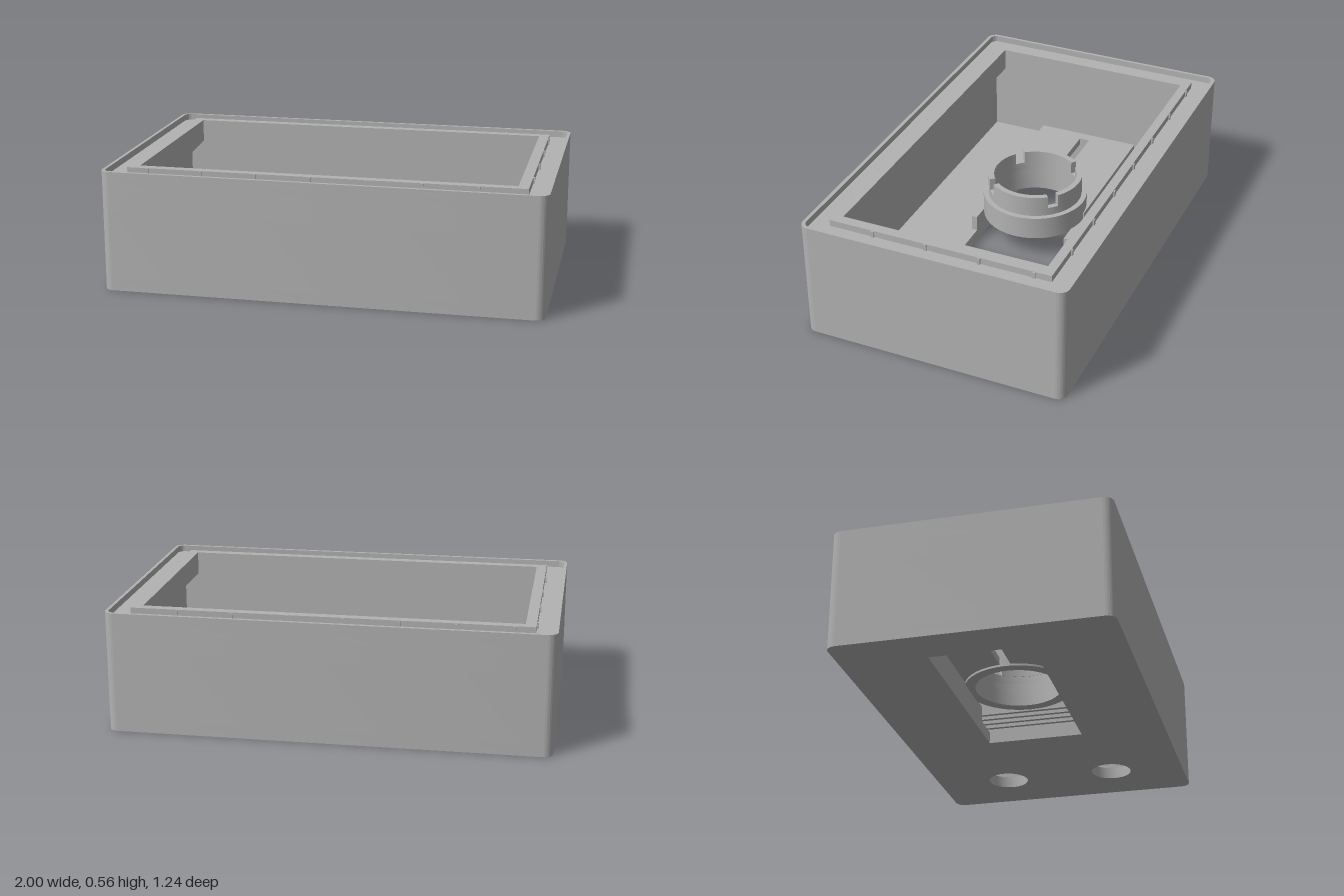
import * as THREE from 'three';
import { toCreasedNormals } from 'three/addons/utils/BufferGeometryUtils.js';

const grey = new THREE.MeshStandardMaterial({ color: 0xb2b2b2 });
grey.name = 'plain grey';

const HX = 1, HZ = 0.622, TOP = 0.555, FLOOR = 0.055;
const RING_X = -0.14;

// Rectangle with optional rounded corners, in plan (x, -z)
function rect(x0, x1, z0, z1, r = 0, Type = THREE.Shape) {
  const s = new Type();
  if (!r) {
    s.moveTo(x0, z0).lineTo(x1, z0).lineTo(x1, z1).lineTo(x0, z1).closePath();
    return s;
  }
  s.moveTo(x0 + r, z0).lineTo(x1 - r, z0);
  s.absarc(x1 - r, z0 + r, r, -Math.PI / 2, 0);
  s.lineTo(x1, z1 - r);
  s.absarc(x1 - r, z1 - r, r, 0, Math.PI / 2);
  s.lineTo(x0 + r, z1);
  s.absarc(x0 + r, z1 - r, r, Math.PI / 2, Math.PI);
  s.lineTo(x0, z0 + r);
  s.absarc(x0 + r, z0 + r, r, Math.PI, Math.PI * 1.5);
  return s;
}

function circle(x, z, r, Type = THREE.Path) {
  const p = new Type();
  p.absarc(x, z, r, 0, Math.PI * 2);
  return p;
}

// Ring sector around the socket centre
function sector(r0, r1, a0, a1) {
  const s = new THREE.Shape();
  s.absarc(RING_X, 0, r1, a0, a1, false);
  s.absarc(RING_X, 0, r0, a1, a0, true);
  s.closePath();
  return s;
}

export function createModel() {
  const model = new THREE.Group();
  model.name = 'enclosure';

  // Upright slab of a plan shape between two heights
  function slab(name, shape, y0, y1, holes = []) {
    shape.holes.push(...holes);
    const g = new THREE.ExtrudeGeometry(shape, { depth: y1 - y0, bevelEnabled: false, curveSegments: 20 });
    g.rotateX(-Math.PI / 2).translate(0, y0, 0);
    const mesh = new THREE.Mesh(toCreasedNormals(g, 0.6), grey);
    mesh.name = name;
    model.add(mesh);
  }
  const outer = () => rect(-HX, HX, -HZ, HZ, 0.045);
  const inset = (hx, hz, r = 0) => rect(-hx, hx, -hz, hz, r, THREE.Path);

  // Floor with two round ports and the battery-style opening
  slab('floor', outer(), 0, FLOOR, [
    circle(0.7, 0.267, 0.098), circle(0.7, -0.267, 0.098),
    rect(-0.8, 0.19, -0.225, 0.228, 0, THREE.Path),
  ]);

  // Side walls, stepping inwards below the rim
  slab('walls', outer(), FLOOR, 0.375, [inset(0.95, 0.573)]);
  const steps = 5;
  for (let i = 0; i < steps; i++) {
    const d = (0.095 * (i + 1)) / steps, h = 0.09 / steps;
    slab('wallStep', outer(), 0.375 + i * h, 0.375 + (i + 1) * h, [inset(0.95 - d, 0.573 - d)]);
  }
  slab('ledge', outer(), 0.465, 0.525, [inset(0.855, 0.478)]);

  // Thin outer lip and raised inner frame
  slab('outerLip', outer(), 0.525, TOP, [inset(0.985, 0.605, 0.03)]);
  slab('innerFrame', rect(-0.903, 0.903, -0.52, 0.52), 0.525, TOP, [inset(0.855, 0.478)]);

  // Small nubs around the frame
  function nub(x, z) {
    const m = new THREE.Mesh(new THREE.BoxGeometry(0.014, 0.028, 0.014), grey);
    m.position.set(x, 0.539, z);
    m.name = 'frameNub';
    model.add(m);
  }
  for (const s of [-1, 1]) {
    for (let i = 0; i < 7; i++) nub(-0.81 + i * 0.25, s * 0.52);
    for (let i = 0; i < 4; i++) nub(s * 0.903, -0.44 + i * 0.25);
  }

  // Raised housing over the opening: U-shaped wall and slotted roof
  const wall = new THREE.Shape();
  [[0.05, -0.252], [0.05, -0.225], [-0.8, -0.225], [-0.8, 0.228], [0.05, 0.228], [0.05, 0.255], [-0.84, 0.255], [-0.84, -0.252]]
    .forEach(([x, z], i) => (i ? wall.lineTo(x, z) : wall.moveTo(x, z)));
  wall.closePath();
  slab('housingWall', wall, FLOOR, 0.13);

  const roof = new THREE.Shape();
  const a = Math.PI * 0.5;
  roof.moveTo(-0.84, -0.252).lineTo(RING_X, -0.252).lineTo(RING_X, -0.21);
  roof.absarc(RING_X, 0, 0.21, -a, -Math.PI + 0.12, true);
  roof.lineTo(-0.79, -0.025).lineTo(-0.79, 0.025);
  roof.absarc(RING_X, 0, 0.21, Math.PI - 0.12, a, true);
  roof.lineTo(RING_X, 0.255).lineTo(-0.84, 0.255).closePath();
  slab('housingRoof', roof, 0.13, 0.165);

  // Round socket: base collar with four upright segments
  slab('socketCollar', circle(RING_X, 0, 0.25, THREE.Shape), 0.12, 0.23, [circle(RING_X, 0, 0.2)]);
  slab('socketRing', circle(RING_X, 0, 0.225, THREE.Shape), 0.23, 0.27, [circle(RING_X, 0, 0.2)]);
  for (let i = 0; i < 4; i++) {
    const mid = (i * Math.PI) / 2, half = Math.PI / 4 - 0.115;
    slab('socketSegment', sector(0.198, 0.225, mid - half, mid + half), 0.27, 0.33);
  }
  return model;
}
